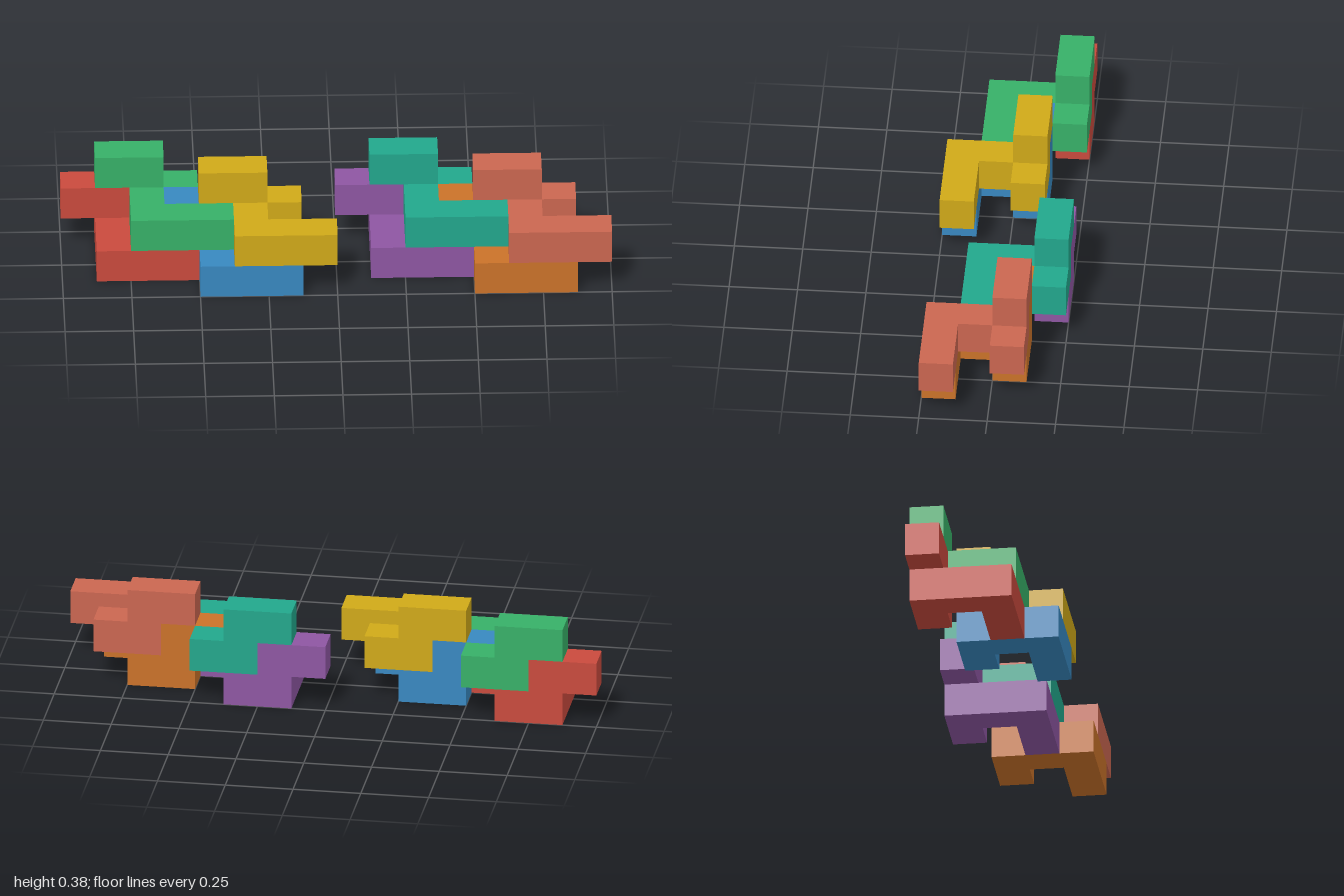
import * as THREE from 'three';
import { mergeGeometries } from 'three/addons/utils/BufferGeometryUtils.js';

const U = 0.125; // edge of one cube cell

// Cells of one piece: a C-shaped base with a two-cell bar on its back arm
const CELLS = [
  [0, 0, 0], [1, 0, 0],
  [0, 0, 1],
  [0, 0, 2], [1, 0, 2], [2, 0, 2],
  [-1, 1, 0], [0, 1, 0],
];
const SIDES = [[1, 0, 0], [-1, 0, 0], [0, 1, 0], [0, -1, 0], [0, 0, 1], [0, 0, -1]];

// Squares only on the cell sides that have no neighbour, giving one closed skin
function pieceGeometry() {
  const filled = new Set(CELLS.map(String));
  const front = new THREE.Vector3(0, 0, 1);
  const faces = [];
  for (const [x, y, z] of CELLS) {
    for (const [dx, dy, dz] of SIDES) {
      if (filled.has(String([x + dx, y + dy, z + dz]))) continue;
      const turn = new THREE.Quaternion().setFromUnitVectors(front, new THREE.Vector3(dx, dy, dz));
      faces.push(new THREE.PlaneGeometry(U, U).applyQuaternion(turn).translate(
        (x + 0.5 + dx / 2) * U, (y + 0.5 + dy / 2) * U, (z + 0.5 + dz / 2) * U));
    }
  }
  return mergeGeometries(faces);
}

// Each cluster: lower and upper piece at the back, then the same pair in front
const COLORS = [
  [['red', 0xc94a3d], ['green', 0x37b068], ['blue', 0x3888c0], ['yellow', 0xd0a918]],
  [['purple', 0x8e56a2], ['teal', 0x22a78c], ['orange', 0xca7229], ['coral', 0xca6650]],
];

export function createModel() {
  const model = new THREE.Group();
  model.name = 'interlockingPieces';
  const geometry = pieceGeometry();
  COLORS.forEach((colors, c) => {
    const cluster = new THREE.Group();
    cluster.name = c ? 'leftCluster' : 'rightCluster';
    colors.forEach(([name, color], i) => {
      const pair = Math.floor(i / 2), level = i % 2;
      const piece = new THREE.Mesh(geometry, new THREE.MeshStandardMaterial({ color }));
      piece.name = name + 'Piece';
      // upper pieces step one cell sideways and up; the front pair steps (3, 0, 1)
      piece.position.set((-7 + 8 * c + 3 * pair + level) * U, level * U, (-2 + pair) * U);
      cluster.add(piece);
    });
    model.add(cluster);
  });
  return model;
}
